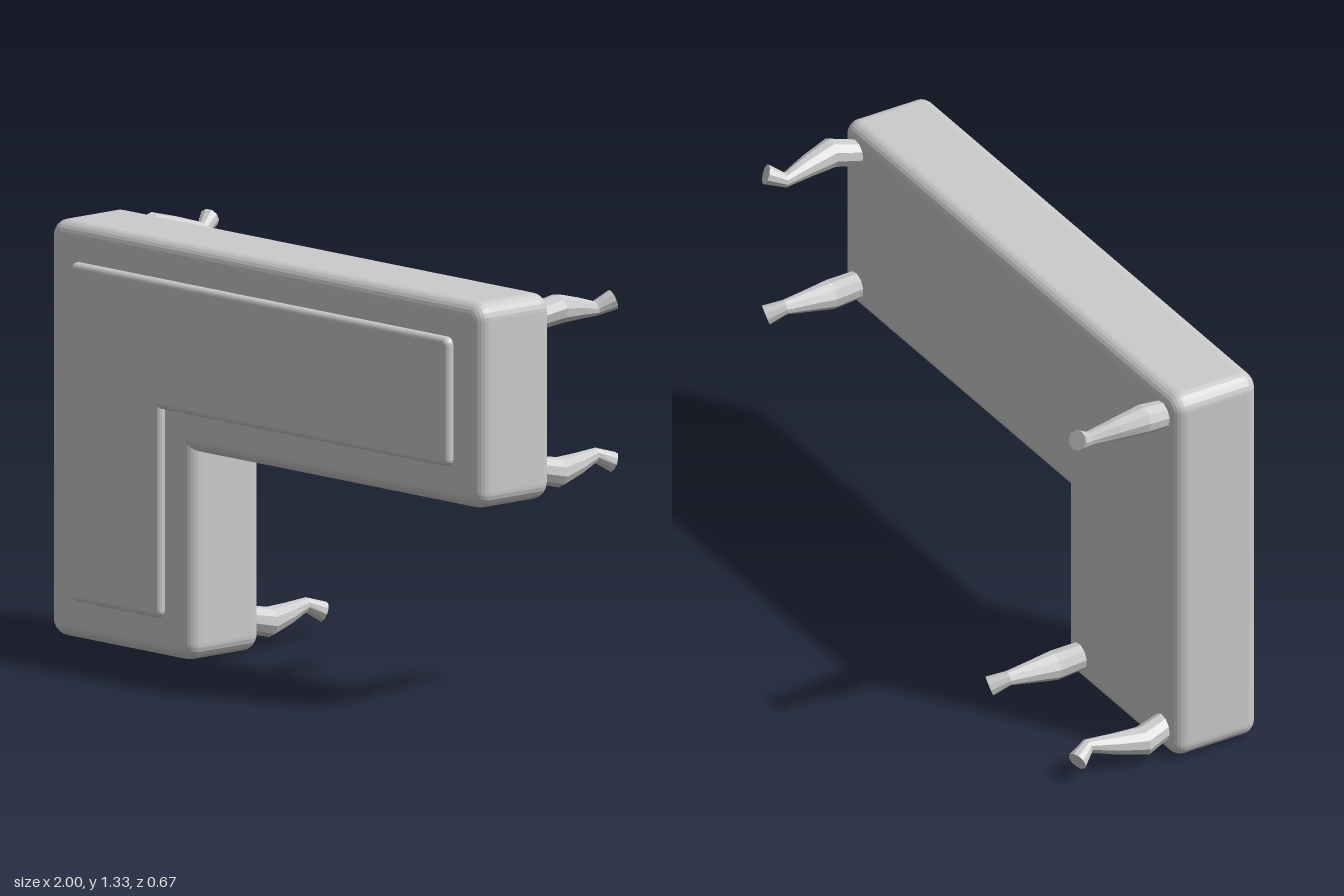
import * as THREE from 'three';

const grey = new THREE.MeshStandardMaterial({ color: 0xcccccc });
grey.name = 'grey';

// L-shaped slab with rounded edges and corners; x0..x1, y0..y1, notch corner at (xi, yi)
function lSlab(name, x0, xi, x1, y0, yi, y1, z0, z1, bevel) {
  const b = bevel, r = bevel * 0.25;
  const pts = [
    [x0 + b, y0 + b], [xi - b, y0 + b], [xi - b, yi + b],
    [x1 - b, yi + b], [x1 - b, y1 - b], [x0 + b, y1 - b],
  ].map(([x, y]) => new THREE.Vector2(x, y));
  const shape = new THREE.Shape();
  pts.forEach((p, i) => {
    const toward = (q) => p.clone().add(q.clone().sub(p).setLength(r));
    const a = toward(pts[(i + 5) % 6]), c = toward(pts[(i + 1) % 6]);
    if (i === 0) shape.moveTo(a.x, a.y);
    else if (i === 2) { shape.lineTo(p.x, p.y); return; } // inner corner stays sharp
    else shape.lineTo(a.x, a.y);
    shape.quadraticCurveTo(p.x, p.y, c.x, c.y);
  });
  shape.closePath();
  const geo = new THREE.ExtrudeGeometry(shape, {
    depth: z1 - z0 - 2 * b, bevelThickness: b, bevelSize: b, bevelSegments: 6, curveSegments: 6,
  });
  geo.translate(0, 0, z0 + b);
  const mesh = new THREE.Mesh(geo, grey);
  mesh.name = name;
  return mesh;
}

// Curved leg: rings of [z, outward offset, radius, tilt], leaning toward (sx, sy)
const RINGS = [
  [0.03, -0.005, 0.043, 0],
  [0.0, 0.0, 0.045, 0],
  [-0.08, 0.023, 0.048, 0.05],
  [-0.17, 0.006, 0.036, -0.1],
  [-0.265, -0.015, 0.024, 0.2],
  [-0.319, 0.021, 0.033, 0.5],
];
function leg(name, x, y, sx, sy) {
  const N = 10, pos = [], idx = [];
  const d = new THREE.Vector2(sx, sy).normalize();
  for (const [z, off, r, tilt] of RINGS) {
    for (let j = 0; j < N; j++) {
      const t = (j / N) * Math.PI * 2;
      const u = off + r * Math.cos(t) * Math.cos(tilt), v = r * Math.sin(t);
      pos.push(x + d.x * u - d.y * v, y + d.y * u + d.x * v, z + r * Math.cos(t) * Math.sin(tilt));
    }
  }
  for (let i = 0; i < RINGS.length - 1; i++) {
    for (let j = 0; j < N; j++) {
      const k = (j + 1) % N, a = i * N + j, b = i * N + k;
      idx.push(a, a + N, b, b, a + N, b + N);
    }
  }
  // flat foot
  const last = (RINGS.length - 1) * N;
  for (let j = 1; j < N - 1; j++) idx.push(last, last + j + 1, last + j);
  const geo = new THREE.BufferGeometry();
  geo.setAttribute('position', new THREE.Float32BufferAttribute(pos, 3));
  geo.setIndex(idx);
  const flat = geo.toNonIndexed();
  flat.computeVertexNormals();
  const mesh = new THREE.Mesh(flat, grey);
  mesh.name = name;
  return mesh;
}

export function createModel() {
  const group = new THREE.Group();
  group.name = 'cornerBench';
  group.add(lSlab('base', -1, -0.34, 1, 0.003, 0.675, 1.333, 0.003, 0.31, 0.045));
  group.add(lSlab('seatPad', -0.877, -0.46, 0.872, 0.13, 0.8, 1.213, 0.27, 0.337, 0.02));

  // five legs, each leaning out toward its own corner
  [
    ['legTopRight', -0.917, 1.247, -1, 1],
    ['legTopLeft', 0.917, 1.247, 1, 1],
    ['legMiddleLeft', 0.917, 0.757, 1, -1],
    ['legBottomRight', -0.917, 0.092, -1, -1],
    ['legBottomInner', -0.42, 0.092, 1, -1],
  ].forEach((args) => group.add(leg(...args)));
  return group;
}
